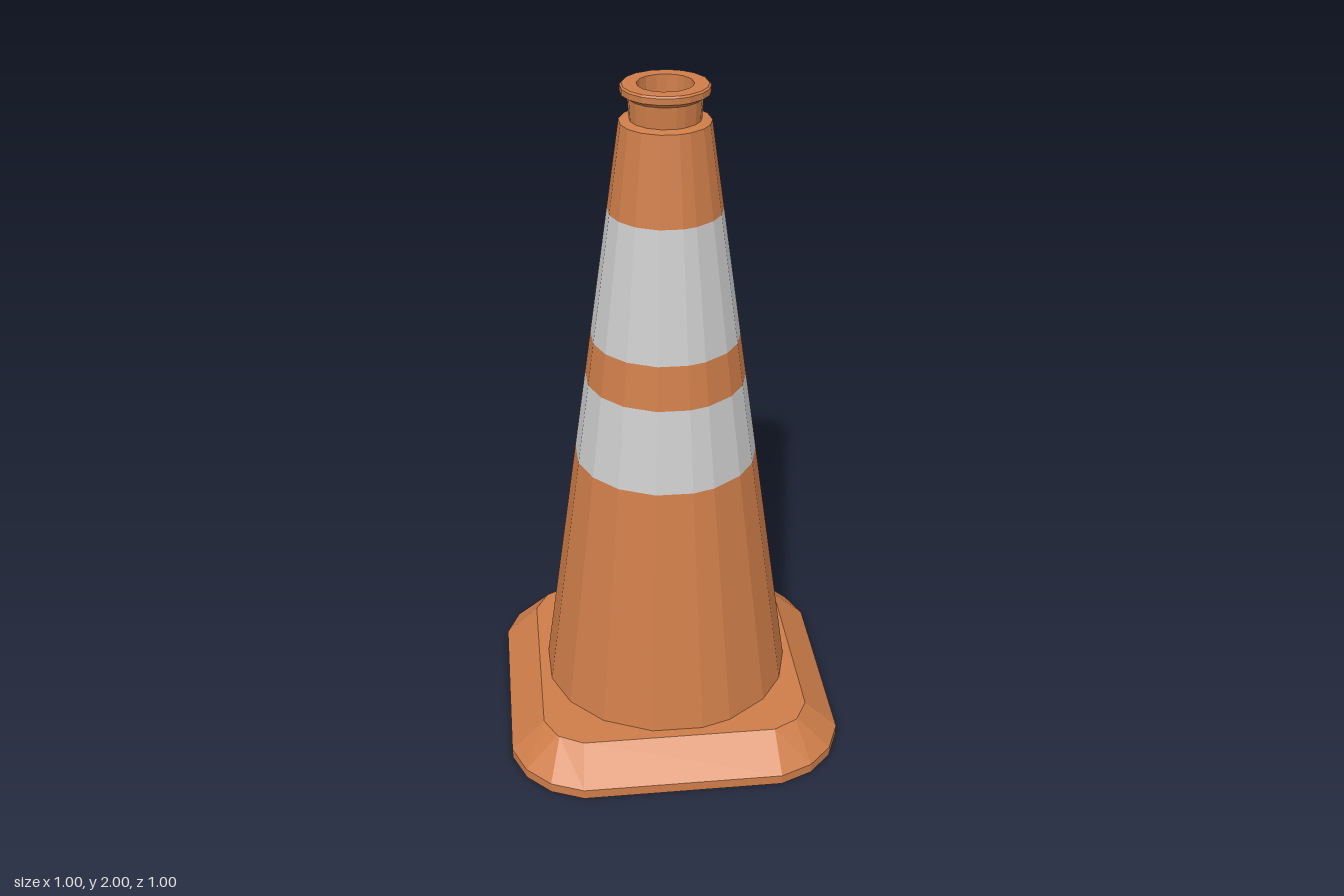
import * as THREE from 'three';

const orange = new THREE.MeshStandardMaterial({ color: 0xce7d49, flatShading: true });
const white = new THREE.MeshStandardMaterial({ color: 0xcccccc, flatShading: true });

// Slightly uneven facet directions around the cone, in degrees
const ANGLES = [-12, 11, 29, 47, 70, 95, 115, 133, 155, 169, 192, 216, 237, 257, 280, 304, 324]
  .map(THREE.MathUtils.degToRad);

// Horizontal outlines as [x, z] points, clockwise from above
const ring = (r) => ANGLES.map((a) => [r * Math.sin(a), -r * Math.cos(a)]);
const roundedSquare = (corner) => {
  const points = [];
  let turn = corner;
  for (let k = 0; k < 4; k++) {
    points.push(...turn);
    turn = turn.map(([x, z]) => [-z, x]);
  }
  return points;
};

// Skin over a stack of { outline, y }; a falling stack faces inwards
function loft(sections) {
  const pos = [];
  for (let s = 0; s < sections.length - 1; s++) {
    const lo = sections[s], hi = sections[s + 1], n = lo.outline.length;
    for (let i = 0; i < n; i++) {
      const j = (i + 1) % n;
      const at = (sec, k) => [sec.outline[k][0], sec.y, sec.outline[k][1]];
      const a = at(lo, i), b = at(lo, j), c = at(hi, j), d = at(hi, i);
      pos.push(...a, ...d, ...c, ...a, ...c, ...b);
    }
  }
  const g = new THREE.BufferGeometry();
  g.setAttribute('position', new THREE.Float32BufferAttribute(pos, 3));
  g.computeVertexNormals();
  return g;
}
const lathe = (profile) => loft(profile.map(([r, y]) => ({ outline: ring(r), y })));

// Flat plate at height y, facing up or down, with an optional hole
function plate(outline, hole, y, up) {
  const flat = (pts) => pts.map(([x, z]) => new THREE.Vector2(x, up ? -z : z));
  const shape = new THREE.Shape(flat(outline));
  if (hole) shape.holes.push(new THREE.Path(flat(hole)));
  return new THREE.ShapeGeometry(shape).rotateX(up ? -Math.PI / 2 : Math.PI / 2).translate(0, y, 0);
}

export function createModel() {
  const model = new THREE.Group();
  const add = (name, geometry, material = orange, parent = model) => {
    const mesh = new THREE.Mesh(geometry, material);
    mesh.name = name;
    parent.add(mesh);
  };

  // Square foot with cut corners and a sloping edge
  const foot = new THREE.Group();
  foot.name = 'foot';
  model.add(foot);
  const wide = roundedSquare([[0.295, -0.5], [0.39, -0.46], [0.46, -0.39], [0.5, -0.295]]);
  const narrow = roundedSquare([[0.287, -0.4], [0.357, -0.363], [0.363, -0.357], [0.4, -0.287]]);
  add('footEdge', loft([{ outline: wide, y: 0 }, { outline: wide, y: 0.03 }, { outline: narrow, y: 0.125 }]), orange, foot);
  add('footTop', plate(narrow, ring(0.35), 0.125, true), orange, foot);
  add('footUnderside', plate(wide, ring(0.32), 0, false), orange, foot);

  // Tapering body, split into coloured bands
  const radiusAt = (y) => THREE.MathUtils.mapLinear(y, 0.125, 1.9, 0.376, 0.126);
  const heights = [0.125, 0.89, 1.14, 1.27, 1.65, 1.9];
  const names = ['lowerBody', 'lowerBand', 'middleBody', 'upperBand', 'upperBody'];
  names.forEach((name, i) => {
    const profile = [heights[i], heights[i + 1]].map((y) => [radiusAt(y), y]);
    add(name, lathe(profile), i % 2 ? white : orange);
  });

  // Shoulder, neck, lip and the recess in the top
  add('neck', lathe([
    [0.126, 1.9], [0.098, 1.905], [0.102, 1.965], [0.122, 1.978],
    [0.122, 1.995], [0.117, 2], [0.077, 2], [0.075, 1.9],
  ]));
  add('recessFloor', plate(ring(0.075), null, 1.9, true));

  // Hollow inside, open at the bottom
  add('innerWall', lathe([[0.08, 1.87], [0.32, 0]]));
  add('innerCap', plate(ring(0.08), null, 1.87, false));

  return model;
}
